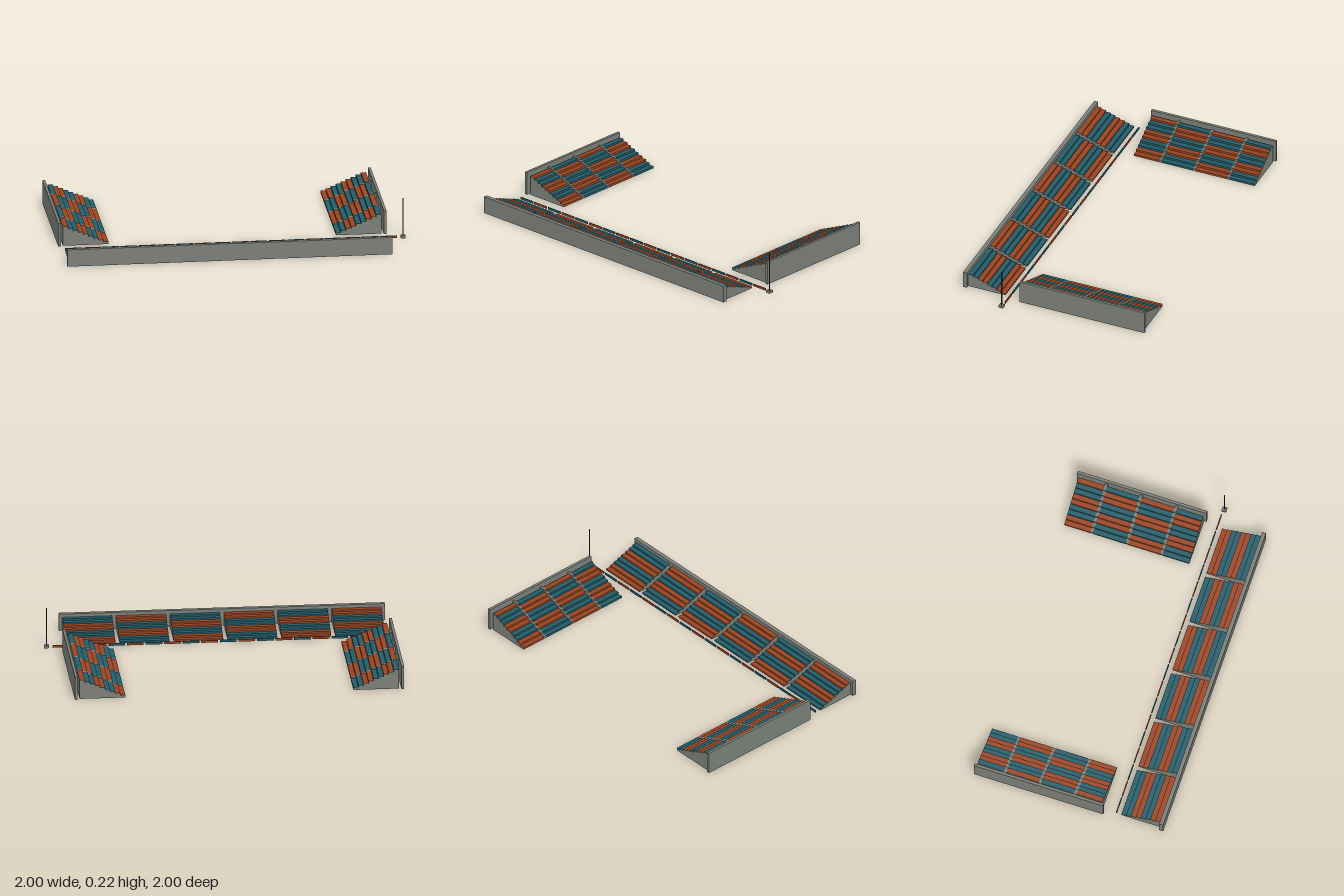
import * as THREE from 'three';

const mat = (name, color) => {
  const m = new THREE.MeshStandardMaterial({ color });
  m.name = name;
  return m;
};

export function createModel() {
  const concrete = mat('concrete grey', 0x7b7f78);
  const teal = mat('seat teal', 0x235d69);
  const rust = mat('seat rust', 0x9a4522);
  const dark = mat('pole dark', 0x33363a);
  const STEP = 0.0272; // depth of one row

  const add = (parent, name, geometry, material, x = 0, y = 0, z = 0) => {
    const mesh = new THREE.Mesh(geometry, material);
    mesh.name = name;
    mesh.position.set(x, y, z);
    parent.add(mesh);
    return mesh;
  };
  // Box standing on y, centred in x and z
  const box = (parent, name, w, h, d, material, x, y, z) =>
    add(parent, name, new THREE.BoxGeometry(w, h, d), material, x, y + h / 2, z);

  // Stepped prism running along x, rising towards +z
  function stairs(rows, rise, length, lift = 0, tail = 0) {
    const s = new THREE.Shape();
    s.moveTo(0, 0);
    for (let r = 0; r < rows; r++) {
      s.lineTo(r * STEP, (r + 1) * rise + lift);
      s.lineTo((r + 1) * STEP, (r + 1) * rise + lift);
    }
    if (tail) s.lineTo(rows * STEP + tail, rows * rise + lift);
    s.lineTo(rows * STEP + tail, 0);
    const g = new THREE.ExtrudeGeometry(s, { depth: length, bevelEnabled: false });
    g.translate(0, 0, -length / 2);
    g.rotateY(-Math.PI / 2);
    return g;
  }

  // Rows of seats for one block, colour changing every two rows
  function seats(parent, block, rows, rise, x, length) {
    for (let r = 0; r < rows; r++) {
      const colour = (block + Math.floor(r / 2)) % 2 === 0 ? teal : rust;
      box(parent, 'seatRow', length, rise, STEP, colour, x, r * rise + 0.0015, (r + 0.5) * STEP - 0.0015);
    }
  }

  // Long stand: six separate blocks in front of one wall
  function longStand() {
    const g = new THREE.Group();
    g.name = 'longStand';
    const rows = 8, rise = 0.0095, pitch = 0.29, length = 0.268;
    for (let i = 0; i < 6; i++) {
      const x = (i - 2.5) * pitch;
      add(g, 'standBase', stairs(rows, rise, length), concrete, x);
      seats(g, i, rows, rise, x, length - 0.002);
    }
    box(g, 'backWall', 1.754, 0.095, 0.022, concrete, 0, 0, 0.229);
    return g;
  }

  // Side stand: four blocks divided by aisles that reach the wall
  function sideStand(name) {
    const g = new THREE.Group();
    g.name = name;
    const rows = 9, rise = 0.0118, half = 0.353, aisle = 0.014;
    add(g, 'standBase', stairs(rows, rise, half * 2), concrete);
    const edges = [-half - aisle / 2, -0.198, 0, 0.198, half + aisle / 2];
    for (let i = 0; i < 4; i++) {
      const a = edges[i], b = edges[i + 1];
      seats(g, i, rows, rise, (a + b) / 2, b - a - aisle - 0.002);
      if (i > 0) add(g, 'aisle', stairs(rows, rise, aisle, 0.003, 0.013), concrete, a);
    }
    box(g, 'backWall', 0.73, 0.13, 0.015, concrete, 0, 0, 0.2635);
    return g;
  }

  // Everything is laid out square, then turned 45 degrees
  const ground = new THREE.Group();
  ground.name = 'stadiumLayout';
  ground.rotation.y = Math.PI / 4;

  const long = longStand();
  long.position.z = 0.297;
  ground.add(long);
  for (const side of [1, -1]) {
    const stand = sideStand(side > 0 ? 'rightEndStand' : 'leftEndStand');
    stand.rotation.y = side * Math.PI / 2;
    stand.position.set(side * 0.615, 0, -0.163);
    ground.add(stand);
  }

  // Low row of boards along the front of the long stand
  const boards = new THREE.Group();
  boards.name = 'perimeterBoards';
  for (let i = 0; i < 18; i++)
    box(boards, 'board', 0.09, 0.012, 0.006, i % 2 ? rust : teal, -0.812 + i * 0.1, 0, 0.267);
  ground.add(boards);

  // Flagpole on its block
  box(ground, 'poleBase', 0.026, 0.013, 0.026, concrete, 0.966, 0, 0.272);
  add(ground, 'pole', new THREE.CylinderGeometry(0.0035, 0.0035, 0.212, 8), dark, 0.966, 0.119, 0.272);

  const model = new THREE.Group();
  model.name = 'stadiumStands';
  model.add(ground);
  return model;
}
